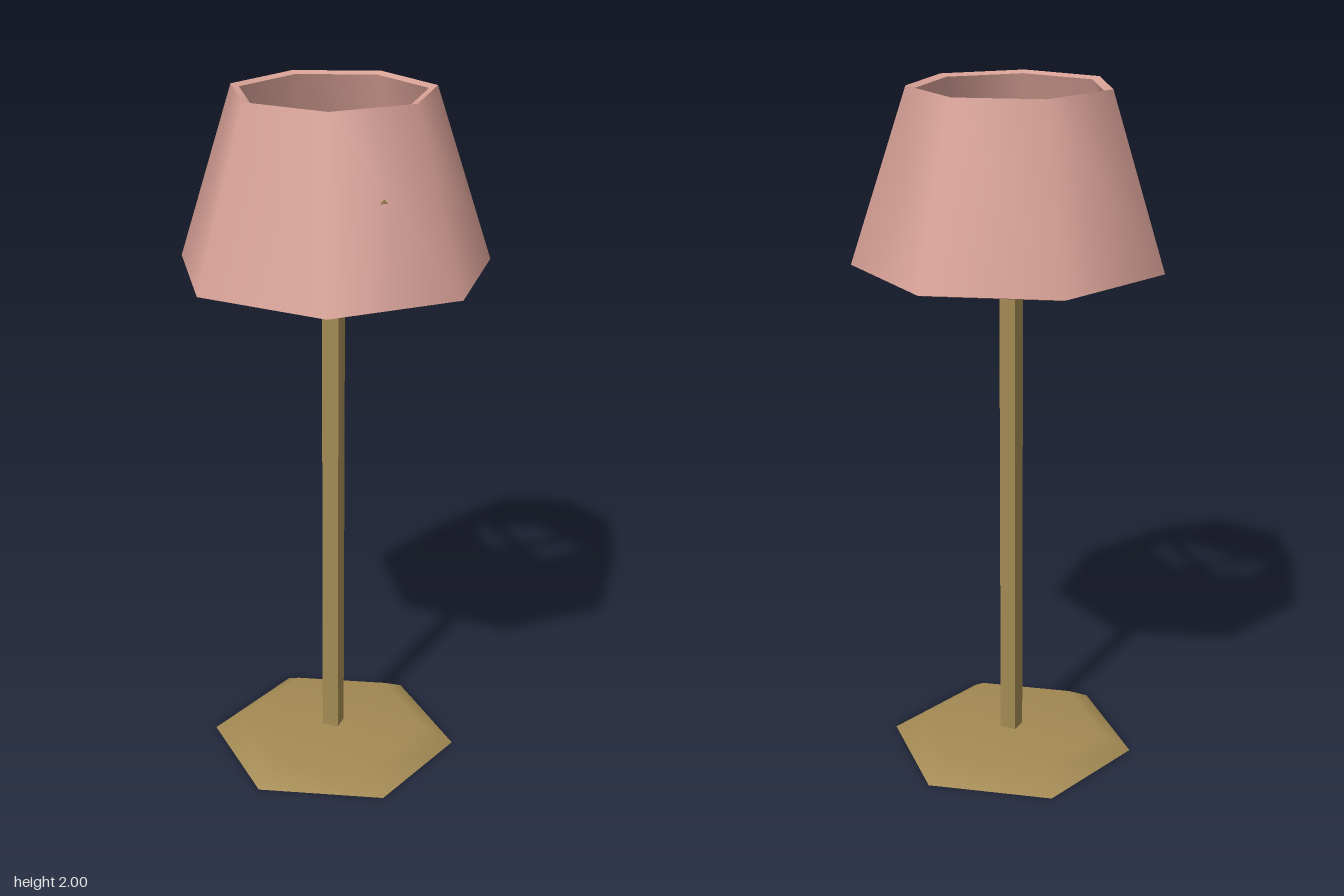
import * as THREE from 'three';
import { mergeGeometries } from 'three/addons/utils/BufferGeometryUtils.js';

const CENTRE_Z = 0.0175; // axis of the pole and base

// Faceted surface of revolution from [radius, height] pairs, smooth round the axis
function turned(profile, sides, start) {
  const points = profile.map(([r, y]) => new THREE.Vector2(r, y));
  return new THREE.LatheGeometry(points, sides, start);
}

// Square rod with crisp edges, along y
function rod(radius, length) {
  const geometry = new THREE.CylinderGeometry(radius, radius, length, 4).toNonIndexed();
  geometry.computeVertexNormals();
  return geometry;
}

export function createModel() {
  const group = new THREE.Group();
  const pink = new THREE.MeshStandardMaterial({ color: 0xd9a297 });
  pink.name = 'dusty pink';
  const brass = new THREE.MeshStandardMaterial({ color: 0xa38a53 });
  brass.name = 'dull brass';

  function add(name, geometry, material, x = 0, y = 0, z = 0) {
    const mesh = new THREE.Mesh(geometry, material);
    mesh.name = name;
    mesh.position.set(x, y, z);
    group.add(mesh);
    return mesh;
  }

  // Base: bevelled hexagon with a flat underside
  add('base', mergeGeometries([
    turned([[0.367, 0], [0.28, 0.05], [0, 0.05]], 6, 0),
    turned([[0, 0], [0.367, 0]], 6, 0),
  ]), brass, 0, 0, CENTRE_Z);

  // Pole
  add('pole', rod(0.035, 1.76), brass, 0, 0.92, CENTRE_Z);

  // Crossed arms that carry the shade
  const armZ = add('supportArmFrontBack', rod(0.025, 0.65), brass, 0, 1.755, CENTRE_Z);
  armZ.rotation.x = Math.PI / 2;
  const armX = add('supportArmSide', rod(0.025, 0.65), brass, 0, 1.755, CENTRE_Z);
  armX.rotation.z = Math.PI / 2;

  // Shade: seven-sided tapered shell, walls and rims meeting at sharp edges
  const corners = [[0.445, 1.51], [0.286, 2], [0.262, 1.993], [0.421, 1.503]];
  const shade = mergeGeometries(corners.map((corner, i) =>
    turned([corner, corners[(i + 1) % 4]], 7, Math.PI)));
  // Shift each ring forward in proportion to its radius
  const p = shade.attributes.position;
  for (let i = 0; i < p.count; i++) {
    p.setZ(i, p.getZ(i) + 0.0475 * Math.hypot(p.getX(i), p.getZ(i)));
  }
  add('shade', shade, pink);

  return group;
}
